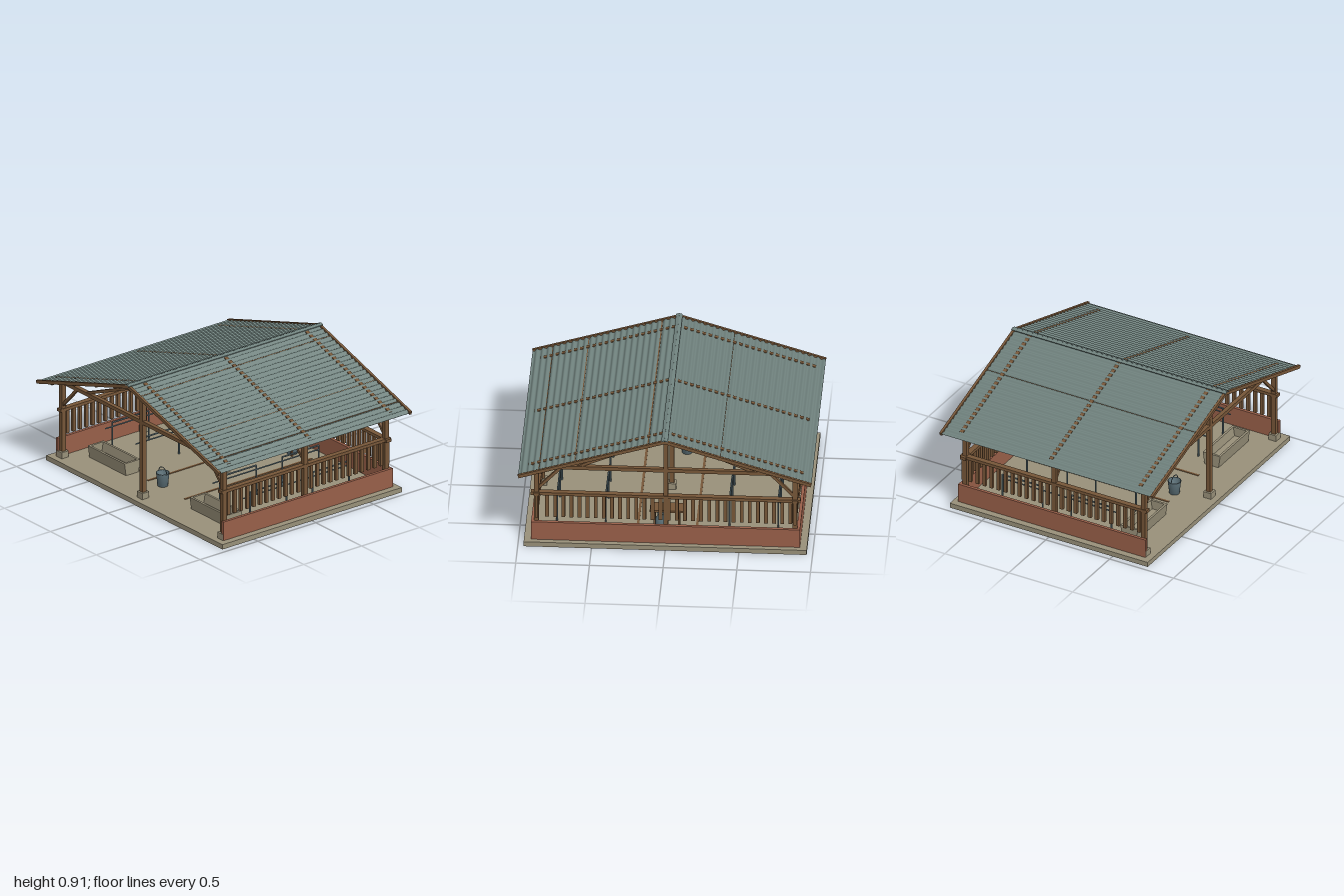
import * as THREE from 'three';

const material = (name, color) => {
  const m = new THREE.MeshStandardMaterial({ color });
  m.name = name;
  return m;
};

export function createModel() {
  const model = new THREE.Group();
  model.name = 'cattleShelter';

  const wood = material('brown wood', 0x765638);
  const concrete = material('concrete', 0x989079);
  const brick = material('red brick', 0x985f49);
  const roofing = material('grey green roofing', 0x70827e);
  roofing.side = THREE.DoubleSide;
  const metal = material('blue grey metal', 0x5f747c);
  metal.side = THREE.DoubleSide;

  const add = (name, geometry, mat, x = 0, y = 0, z = 0) => {
    const mesh = new THREE.Mesh(geometry, mat);
    mesh.name = name;
    mesh.position.set(x, y, z);
    model.add(mesh);
    return mesh;
  };
  // box given by its lower and upper limits
  const box = (name, mat, x0, x1, y0, y1, z0, z1) =>
    add(name, new THREE.BoxGeometry(x1 - x0, y1 - y0, z1 - z0), mat, (x0 + x1) / 2, (y0 + y1) / 2, (z0 + z1) / 2);
  // straight timber between two points
  const beam = (name, mat, a, b, w, h = w) => {
    const from = new THREE.Vector3(...a), to = new THREE.Vector3(...b);
    const mid = from.clone().add(to).multiplyScalar(0.5);
    const mesh = add(name, new THREE.BoxGeometry(w, h, from.distanceTo(to)), mat, mid.x, mid.y, mid.z);
    mesh.lookAt(to);
    return mesh;
  };
  // round pipe through a few points
  const pipe = (name, mat, points, r) => {
    const path = new THREE.CurvePath();
    const v = points.map((p) => new THREE.Vector3(...p));
    for (let i = 1; i < v.length; i++) path.add(new THREE.LineCurve3(v[i - 1], v[i]));
    path.curves.forEach((c) => add(name, new THREE.TubeGeometry(c, 1, r, 8), mat));
  };

  const floor = 0.035, postX = 0.877, frames = [-0.7, 0, 0.7];
  const slope = 0.31, ridgeY = 0.893;
  const roofY = (x) => ridgeY - slope * Math.abs(x);

  // floor slab and low brick walls on three sides
  box('floorSlab', concrete, -0.96, 0.96, 0, floor, -0.775, 0.775);
  box('backWall', brick, -0.912, 0.912, floor, 0.172, -0.737, -0.713);
  for (const s of [-1, 1]) {
    const wall = box('sideWall', brick, 0.89, 0.912, floor, 0.172, -0.737, 0.728);
    wall.position.x *= s;
  }

  // three roof frames
  for (const z of frames) {
    for (const x of [-postX, 0, postX]) {
      box('postBase', concrete, x - 0.03, x + 0.03, floor, 0.08, z - 0.03, z + 0.03);
      box('post', wood, x - 0.016, x + 0.016, 0.08, x ? 0.6 : 0.87, z - 0.016, z + 0.016);
    }
    box('tieBeam', wood, -0.905, 0.905, 0.58, 0.607, z - 0.015, z + 0.015);
    for (const s of [-1, 1]) {
      beam('rafter', wood, [0, ridgeY - 0.012, z], [s * 0.93, roofY(0.93) - 0.012, z], 0.027, 0.026);
      beam('roofStrut', wood, [s * 0.6, 0.6, z], [0, 0.855, z], 0.02);
      beam('kneeBrace', wood, [s * 0.87, 0.42, z], [s * 0.715, 0.585, z], 0.02);
    }
  }

  // corrugated roof, purlins and edge boards
  const angle = Math.atan(slope), length = 0.995 / Math.cos(angle), waves = 24;
  for (const s of [-1, 1]) {
    const sheet = new THREE.PlaneGeometry(length, 1.64, waves * 8, 1).rotateX(-Math.PI / 2);
    const p = sheet.attributes.position;
    for (let i = 0; i < p.count; i++) p.setY(i, 0.006 * Math.sin((p.getX(i) / length + 0.5) * waves * Math.PI * 2));
    sheet.computeVertexNormals();
    const roof = add('roofSheet', sheet, roofing, s * 0.4975, roofY(0.4975), 0);
    roof.rotation.z = -s * angle;
    for (const x of [0.11, 0.37, 0.61, 0.85]) {
      beam('purlin', wood, [s * x, roofY(x) - 0.015, -0.82], [s * x, roofY(x) - 0.015, 0.82], 0.018);
    }
    for (const z of [-0.826, 0.826]) {
      beam('bargeBoard', wood, [0, ridgeY - 0.004, z], [s * 0.994, roofY(0.994) - 0.002, z], 0.018, 0.024);
    }
    const cap = add('ridgeCap', new THREE.BoxGeometry(0.024, 0.006, 1.68), roofing, s * 0.01, ridgeY + 0.007, 0);
    cap.rotation.z = -s * angle;
    beam('wallPlate', wood, [s * postX, 0.597, -0.73], [s * postX, 0.597, 0.73], 0.026);
  }

  // railings with pickets
  box('backHandrail', wood, -0.915, 0.915, 0.374, 0.396, -0.72, -0.68);
  for (let i = 0; i < 31; i++) {
    const x = -0.845 + i * 0.055;
    box('backPicket', wood, x - 0.0125, x + 0.0125, 0.2, 0.376, -0.71, -0.69);
  }
  for (const s of [-1, 1]) {
    const x = s * postX;
    box('sideHandrail', wood, x - 0.02, x + 0.02, 0.374, 0.396, -0.73, 0.73);
    for (let i = 0; i < 26; i++) {
      const z = 0.66 - i * 0.055;
      box('sidePicket', wood, x - 0.01, x + 0.01, 0.2, 0.376, z - 0.0125, z + 0.0125);
    }
  }

  // feeding troughs: tapered end profile with a hollow top
  const trough = new THREE.Shape([
    [-0.055, 0], [0.055, 0], [0.068, 0.09], [0.052, 0.09], [0.042, 0.025], [-0.042, 0.025], [-0.052, 0.09], [-0.068, 0.09],
  ].map(([x, y]) => new THREE.Vector2(x, y)));
  for (const x of [-0.555, 0.555]) {
    const body = add('trough', new THREE.ExtrudeGeometry(trough, { depth: 0.4, bevelEnabled: false }), concrete, x - 0.2, floor, 0.51);
    body.rotation.y = Math.PI / 2;
    for (const e of [-0.192, 0.192]) box('troughEnd', concrete, x + e - 0.008, x + e + 0.008, floor, 0.125, 0.455, 0.565);
  }

  // metal stall dividers and floor drains
  for (const x of [-0.75, -0.42, 0.42, 0.75]) {
    for (const [z0, z1] of [[0.055, 0.37], [-0.485, -0.17]]) {
      pipe('stallDivider', metal, [[x, floor, z0], [x, 0.24, z0], [x, 0.24, z1], [x, floor, z1]], 0.006);
    }
    pipe('stallRail', metal, [[x, 0.21, -0.485], [x, 0.21, 0.43]], 0.005);
  }
  for (const x of [-0.2, 0.2]) box('floorDrain', wood, x - 0.008, x + 0.008, floor, floor + 0.004, -0.6, 0.5);

  // work table at the back with a milk can below
  box('tableTop', wood, -0.115, 0.115, 0.2, 0.215, -0.61, -0.5);
  for (const x of [-0.083, 0.083]) {
    for (const z of [-0.59, -0.52]) box('tableLeg', wood, x - 0.007, x + 0.007, floor, 0.2, z - 0.007, z + 0.007);
  }
  const lathe = (pts) => new THREE.LatheGeometry(pts.map(([x, y]) => new THREE.Vector2(x, y)), 20);
  add('milkCan', lathe([[0, 0], [0.036, 0], [0.036, 0.09], [0.022, 0.11], [0.022, 0.125], [0.028, 0.135], [0, 0.135]]),
    metal, 0.042, floor, -0.555);

  // bucket with a bail handle
  add('bucket', lathe([[0, 0], [0.036, 0], [0.045, 0.092], [0.047, 0.092], [0.047, 0.096], [0.042, 0.096], [0.034, 0.006], [0, 0.006]]),
    metal, -0.075, floor, 0.47);
  add('bucketHandle', new THREE.TorusGeometry(0.044, 0.003, 6, 20, Math.PI), metal, -0.075, floor + 0.09, 0.47);

  return model;
}
